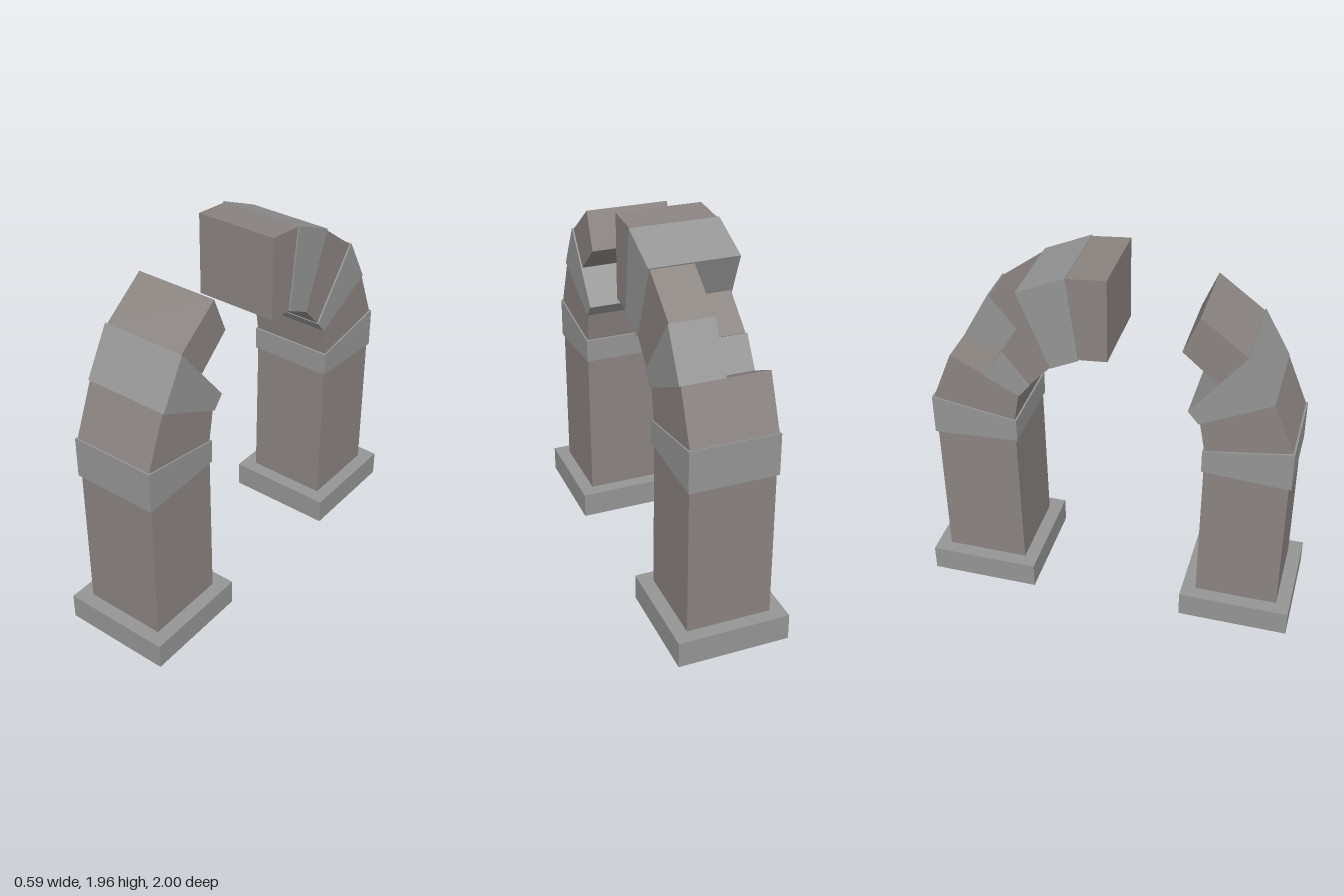
import * as THREE from 'three';

const grey = new THREE.MeshStandardMaterial({ color: 0x959595, flatShading: true });
const brown = new THREE.MeshStandardMaterial({ color: 0x8a8481, flatShading: true });

// Prism with a [z, y] outline, spanning x0 to x1
function prism(name, outline, x0, x1, material) {
  const shape = new THREE.Shape(outline.map(([z, y]) => new THREE.Vector2(z, y)));
  const geometry = new THREE.ExtrudeGeometry(shape, { depth: x1 - x0, bevelEnabled: false });
  geometry.rotateY(-Math.PI / 2).translate(x1, 0, 0);
  const mesh = new THREE.Mesh(geometry, material);
  mesh.name = name;
  return mesh;
}

const mid = (a, b) => [(a[0] + b[0]) / 2, (a[1] + b[1]) / 2];

// Arch stones from springer to crown, as [z, y]:
// lower outer, upper outer, upper inner, lower inner
const stones = [
  { name: 'springer', mat: grey, pts: [[0.94, 0.93], [0.94, 1.15], [0.485, 1.08], [0.485, 0.955]] },
  { name: 'lowerVoussoir', mat: brown, pts: [[0.93, 1.15], [0.82, 1.42], [0.465, 1.25], [0.495, 1.075]] },
  { name: 'middleVoussoir', mat: grey, pts: [[0.822, 1.42], [0.685, 1.665], [0.405, 1.31], [0.46, 1.243]] },
  { name: 'upperVoussoir', mat: brown, pts: [[0.68, 1.66], [0.445, 1.835], [0.285, 1.445], [0.405, 1.315]] },
  { name: 'crownVoussoir', mat: grey, pts: [[0.45, 1.84], [0.2, 1.95], [0.143, 1.507], [0.288, 1.438]] },
  { name: 'keystoneHalf', mat: brown, pts: [[0.205, 1.945], [0, 1.963], [0, 1.52], [0.14, 1.508]] },
];

const outerHalf = ([a, b, c, d]) => [a, b, mid(b, c), mid(a, d)];
const innerHalf = ([a, b, c, d]) => [mid(a, d), mid(b, c), c, d];

function createSide(side, name) {
  const group = new THREE.Group();
  group.name = name;
  const place = (pts) => pts.map(([z, y]) => [z * side, y]);

  // Plinth and pillar
  group.add(prism('plinth', place([[0.413, 0], [1, 0], [1, 0.14], [0.413, 0.14]]), -0.295, 0.295, grey));
  group.add(prism('pillar', place([[0.487, 0.14], [0.927, 0.14], [0.927, 0.93], [0.495, 0.955]]), -0.222, 0.222, brown));

  const front = side > 0;
  stones.slice(0, front ? 4 : 6).forEach(({ name, mat, pts }, i) => {
    const x0 = mat === grey ? -0.232 : -0.224;
    const x1 = mat === grey ? 0.23 : 0.222;
    if (front && i === 3) {
      // Broken end: only the outer half of the stone is left
      group.add(prism(name, place(outerHalf(pts)), x0, x1, mat));
    } else if (!front && (i === 2 || i === 3)) {
      // Notched stones: the outer quarter on one side is missing
      const stone = new THREE.Group();
      stone.name = name;
      stone.add(prism(name + 'Whole', place(pts), 0, x1, mat));
      stone.add(prism(name + 'Inner', place(innerHalf(pts)), x0, 0, mat));
      group.add(stone);
    } else {
      group.add(prism(name, place(pts), x0, x1, mat));
    }
  });
  return group;
}

export function createModel() {
  const model = new THREE.Group();
  model.name = 'ruinedArch';
  model.add(createSide(1, 'frontSide'), createSide(-1, 'backSide'));
  return model;
}
